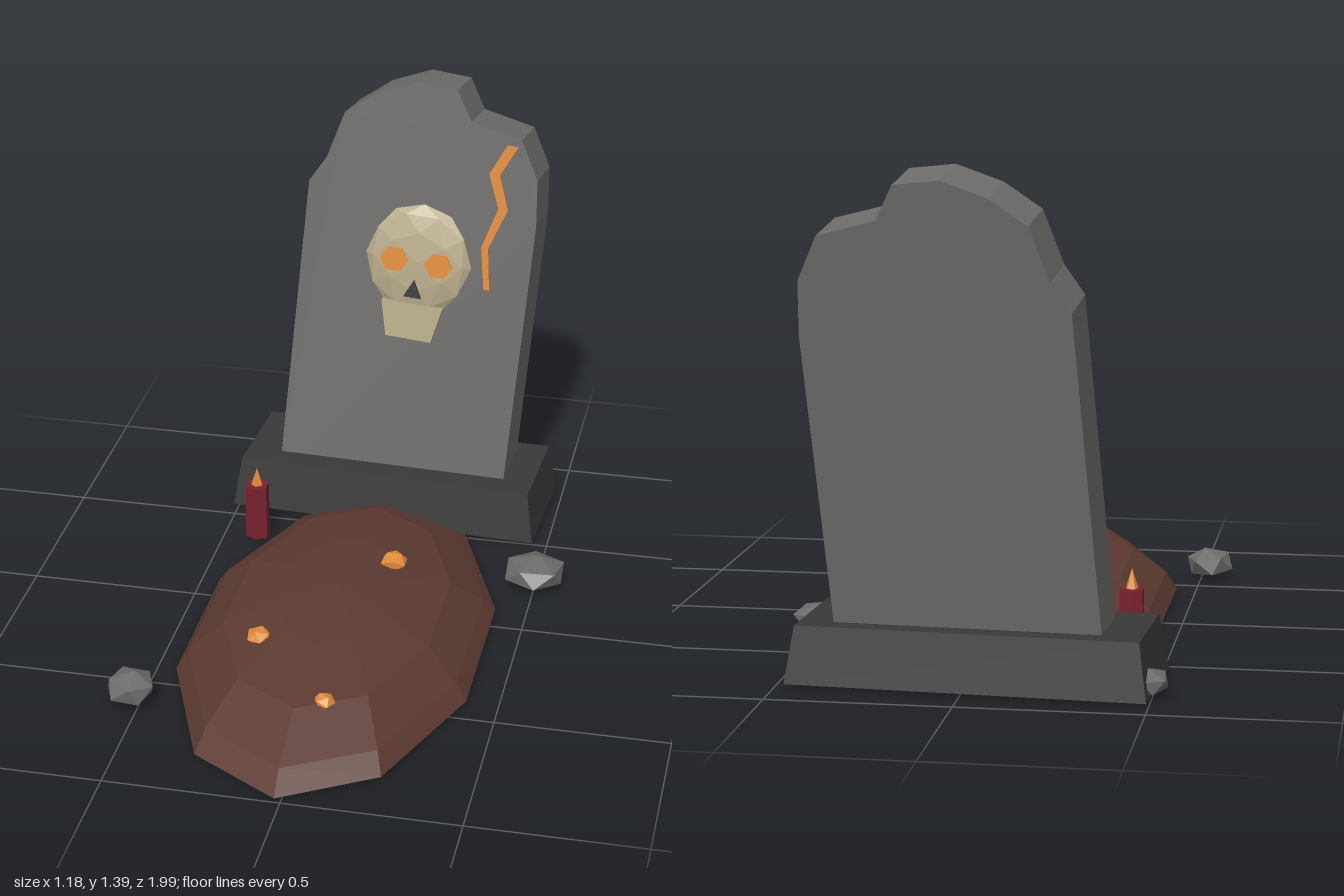
import * as THREE from 'three';

function material(name, color, doubleSided = false) {
  const m = new THREE.MeshStandardMaterial({ color, flatShading: true });
  m.name = name;
  if (doubleSided) m.side = THREE.DoubleSide;
  return m;
}

const mats = {
  stone: material('grey stone', 0x6e6c6a),
  dark: material('dark stone', 0x393939, true),
  bone: material('bone', 0xb8ab8a),
  glow: material('glowing orange', 0xe08a3a),
  soil: material('soil', 0x5c3a31, true),
  wax: material('red wax', 0x7a2230),
};

function part(parent, name, geometry, mat, x = 0, y = 0, z = 0) {
  const mesh = new THREE.Mesh(geometry, mat);
  mesh.name = name;
  mesh.position.set(x, y, z);
  parent.add(mesh);
  return mesh;
}

// Flat outline extruded towards +z
function plate(points, depth) {
  const shape = new THREE.Shape(points.map(([x, y]) => new THREE.Vector2(x, y)));
  return new THREE.ExtrudeGeometry(shape, { depth, bevelEnabled: false });
}

function createHeadstone() {
  const g = new THREE.Group();
  g.name = 'headstone';
  const half = 0.095;

  // Slab with a broken arch
  const outline = [
    [-0.357, 0.04], [0.364, 0.04], [0.364, 1.0], [0.35, 1.145], [0.288, 1.261], [0.127, 1.292],
    [0.074, 1.383], [-0.051, 1.388], [-0.172, 1.335], [-0.267, 1.259], [-0.309, 1.111], [-0.357, 1.027],
  ];
  part(g, 'slab', plate(outline, half * 2), mats.stone, 0, 0, -half);

  // Skull relief
  const skull = new THREE.Group();
  skull.name = 'skull';
  skull.position.set(0.014, 0.836, half);
  g.add(skull);
  part(skull, 'cranium', new THREE.IcosahedronGeometry(1, 1), mats.bone).scale.set(0.167, 0.178, 0.036);
  part(skull, 'jaw', plate([[-0.072, -0.25], [0.072, -0.25], [0.097, -0.138], [-0.097, -0.138]], 0.033), mats.bone, 0, 0, -0.005);
  for (const side of [-1, 1]) {
    const hexagon = [];
    for (let i = 0; i < 6; i++) {
      const a = (i * Math.PI) / 3;
      hexagon.push([0.045 * Math.cos(a), 0.041 * Math.sin(a)]);
    }
    part(skull, side < 0 ? 'rightEye' : 'leftEye', plate(hexagon, 0.006), mats.glow, side * 0.07, 0, 0.031);
  }
  part(skull, 'nose', plate([[-0.028, -0.113], [0.028, -0.113], [0, -0.056]], 0.006), mats.dark, 0, 0, 0.031);

  // Glowing crack: x, y and half width along the zigzag
  const crack = [
    [0.263, 1.239, 0.017], [0.218, 1.143, 0.0165], [0.257, 1.039, 0.015], [0.215, 0.91, 0.011], [0.236, 0.778, 0.009],
  ];
  const left = crack.map(([x, y, w]) => [x - w, y]);
  const right = crack.map(([x, y, w]) => [x + w, y]).reverse();
  part(g, 'crack', plate([...left, ...right], 0.005), mats.glow, 0, 0, half - 0.001);

  g.rotation.order = 'YXZ';
  g.rotation.set(-0.152, -0.052, -0.066);
  g.position.set(-0.028, 0, -0.697);
  return g;
}

// Plinth: tapered box walls and top, open underneath
function createPlinth() {
  const geo = new THREE.BoxGeometry(0.97, 0.155, 0.382);
  const pos = geo.attributes.position;
  for (let i = 0; i < pos.count; i++) {
    if (pos.getY(i) > 0) {
      pos.setX(i, pos.getX(i) * 0.953);
      pos.setZ(i, pos.getZ(i) * 0.87);
    }
  }
  const index = Array.from(geo.index.array);
  index.splice(18, 6);
  geo.setIndex(index);
  geo.clearGroups();
  geo.computeVertexNormals();
  return geo;
}

// Mound: ten-sided dome, open underneath, sagging at the rim and towards the headstone
function createMound() {
  const geo = new THREE.SphereGeometry(1, 10, 4, Math.PI / 2, Math.PI * 2, 0, Math.PI / 2);
  const pos = geo.attributes.position;
  for (let i = 0; i < pos.count; i++) {
    const x = pos.getX(i), y = pos.getY(i), z = pos.getZ(i);
    let sag = 0;
    if (y > 0.01 && y < 0.99) sag = 0.05 - 0.06 * z + 0.03 * x + (y < 0.5 ? 0.09 : 0);
    pos.setXYZ(i, x * 0.447, (y - sag) * 0.189, z * 0.826);
  }
  geo.computeVertexNormals();
  return geo;
}

// Rock: tilted lump cut flat at the ground
function createRock(sx, sy, sz, turn, ground) {
  const geo = new THREE.IcosahedronGeometry(1, 0);
  geo.rotateZ(0.35).rotateY(turn).scale(sx, sy, sz);
  const pos = geo.attributes.position;
  for (let i = 0; i < pos.count; i++) pos.setY(i, Math.max(pos.getY(i), ground));
  geo.computeVertexNormals();
  return geo;
}

export function createModel() {
  const model = new THREE.Group();
  model.name = 'grave';

  model.add(createHeadstone());
  part(model, 'plinth', createPlinth(), mats.dark, -0.02, 0.0875, -0.711).rotation.y = -0.055;
  part(model, 'mound', createMound(), mats.soil, -0.018, 0.01, 0.169);

  // Embers on the mound: x, y, z, radius
  [[0.11, 0.178, -0.02, 0.042], [-0.19, 0.163, 0.445, 0.038], [0.055, 0.137, 0.695, 0.033]].forEach(([x, y, z, r], i) => {
    const ember = part(model, 'ember' + (i + 1), new THREE.IcosahedronGeometry(r, 0), mats.glow, x, y, z);
    ember.scale.y = 0.75;
    ember.rotation.y = i * 1.3;
  });

  // Candle
  const candle = new THREE.Group();
  candle.name = 'candle';
  candle.position.set(-0.394, 0, -0.376);
  part(candle, 'wax', new THREE.CylinderGeometry(0.037, 0.039, 0.178, 6), mats.wax, 0, 0.099, 0);
  part(candle, 'flame', new THREE.ConeGeometry(0.019, 0.058, 5), mats.glow, 0, 0.216, 0);
  model.add(candle);

  // Loose rocks: position, half sizes, turn
  [
    [-0.528, 0.052, 0.605, 0.075, 0.05, 0.08, 0.4],
    [0.497, 0.05, -0.265, 0.1, 0.046, 0.1, 1.1],
    [-0.485, 0.044, -0.822, 0.064, 0.038, 0.077, 2.0],
  ].forEach(([x, y, z, sx, sy, sz, turn], i) => {
    part(model, 'rock' + (i + 1), createRock(sx, sy, sz, turn, 0.012 - y), mats.stone, x, y, z);
  });

  return model;
}
